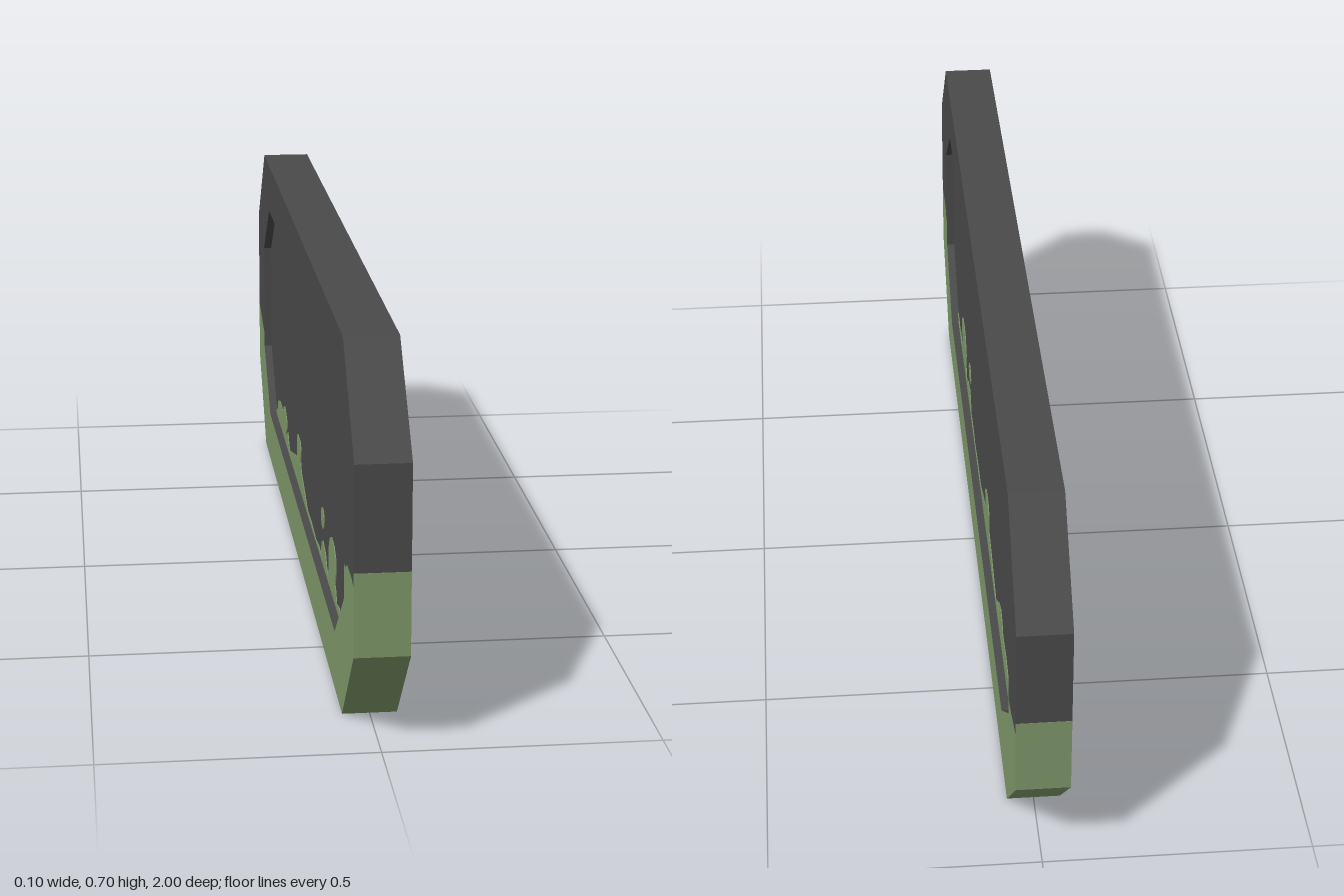
import * as THREE from 'three';

const stone = new THREE.MeshStandardMaterial({ color: 0x4a4a4a });
stone.name = 'darkStone';
const moss = new THREE.MeshStandardMaterial({ color: 0x7e986a });
moss.name = 'mossGreen';

// Outlines are [z, y] pairs
const shapeOf = (pts) => new THREE.Shape(pts.map(([z, y]) => new THREE.Vector2(z, y)));

// Extrudes an outline symmetrically across x
function slab(shape, width) {
  const geo = new THREE.ExtrudeGeometry(shape, { depth: width, bevelEnabled: false, curveSegments: 6 });
  geo.translate(0, 0, -width / 2);
  geo.rotateY(-Math.PI / 2);
  return geo;
}

// Gives walls that face the middle of the sign material 1, all else material 0
function splitInnerWalls(geo) {
  const p = geo.attributes.position, n = geo.attributes.normal;
  geo.clearGroups();
  for (let i = 0; i < p.count; i += 3) {
    const y = (p.getY(i) + p.getY(i + 1) + p.getY(i + 2)) / 3 - 0.35;
    const z = (p.getZ(i) + p.getZ(i + 1) + p.getZ(i + 2)) / 3;
    const inner = Math.abs(n.getX(i)) < 0.5 && n.getY(i) * y + n.getZ(i) * z < -0.01;
    geo.addGroup(i, 3, inner ? 1 : 0);
  }
  return geo;
}

export function createModel() {
  const group = new THREE.Group();
  const add = (name, geo, material) => {
    const mesh = new THREE.Mesh(geo, material);
    mesh.name = name;
    group.add(mesh);
    return mesh;
  };

  // Wavy line where the moss ends on each end of the frame, outside to inside
  const frontLine = [[1, 0.305], [0.97, 0.313], [0.9, 0.313], [0.87, 0.298], [0.855, 0.298]];
  const backLine = [[-0.855, 0.268], [-0.91, 0.28], [-0.94, 0.29], [-1, 0.305]];

  // Frame, upper stone part
  add('frameTop', slab(shapeOf([
    ...frontLine, [0.855, 0.475], [0.7, 0.6], [-0.7, 0.6], [-0.855, 0.475], ...backLine,
    [-1, 0.528], [-0.825, 0.705], [0.825, 0.705], [1, 0.528],
  ]), 0.1), stone);

  // Frame, lower mossy part with bare stone inside the recess
  add('frameBottom', splitInnerWalls(slab(shapeOf([
    ...frontLine, [0.855, 0.235], [0.7, 0.11], [-0.7, 0.11], [-0.855, 0.235], ...backLine,
    [-1, 0.178], [-0.825, 0], [0.825, 0], [1, 0.178],
  ]), 0.1)), [moss, stone]);

  // Moss reaches slightly higher on the end faces
  for (const side of [1, -1]) {
    const edge = add(side > 0 ? 'frontEndMoss' : 'backEndMoss', new THREE.BoxGeometry(0.1, 0.03, 0.002), moss);
    edge.position.set(0, 0.318, side * 0.9995);
  }

  // Recessed panel
  add('panel', slab(shapeOf([
    [0.855, 0.235], [0.855, 0.475], [0.7, 0.6], [-0.7, 0.6],
    [-0.855, 0.475], [-0.855, 0.235], [-0.7, 0.11], [0.7, 0.11],
  ]), 0.066), stone);

  // Moss growing up the panel, just proud of both faces
  add('panelMoss', slab(shapeOf([
    [0.7, 0.11], [0.72, 0.128], [0.69, 0.13], [0.66, 0.122], [0.63, 0.13], [0.59, 0.122],
    [0.567, 0.15], [0.577, 0.175], [0.572, 0.205], [0.545, 0.22], [0.5, 0.223], [0.47, 0.212],
    [0.445, 0.18], [0.452, 0.145], [0.435, 0.125], [0.415, 0.128], [0.39, 0.15], [0.34, 0.16],
    [0.315, 0.148], [0.308, 0.118], [0.26, 0.122], [0.2, 0.114], [0.1, 0.12], [0.03, 0.118],
    [-0.03, 0.138], [-0.1, 0.158], [-0.115, 0.175], [-0.105, 0.205], [-0.13, 0.22], [-0.18, 0.22],
    [-0.2, 0.205], [-0.2, 0.163], [-0.28, 0.145], [-0.37, 0.122], [-0.39, 0.128], [-0.415, 0.152],
    [-0.46, 0.132], [-0.435, 0.155], [-0.445, 0.172], [-0.49, 0.19], [-0.52, 0.182], [-0.54, 0.162],
    [-0.61, 0.167], [-0.66, 0.155], [-0.68, 0.128], [-0.71, 0.118], [-0.7, 0.11],
  ]), 0.069), moss);

  // Lone moss spot
  const spot = new THREE.Shape();
  spot.absellipse(0.335, 0.205, 0.029, 0.021, 0, Math.PI * 2);
  add('mossSpot', slab(spot, 0.069), moss);

  return group;
}
